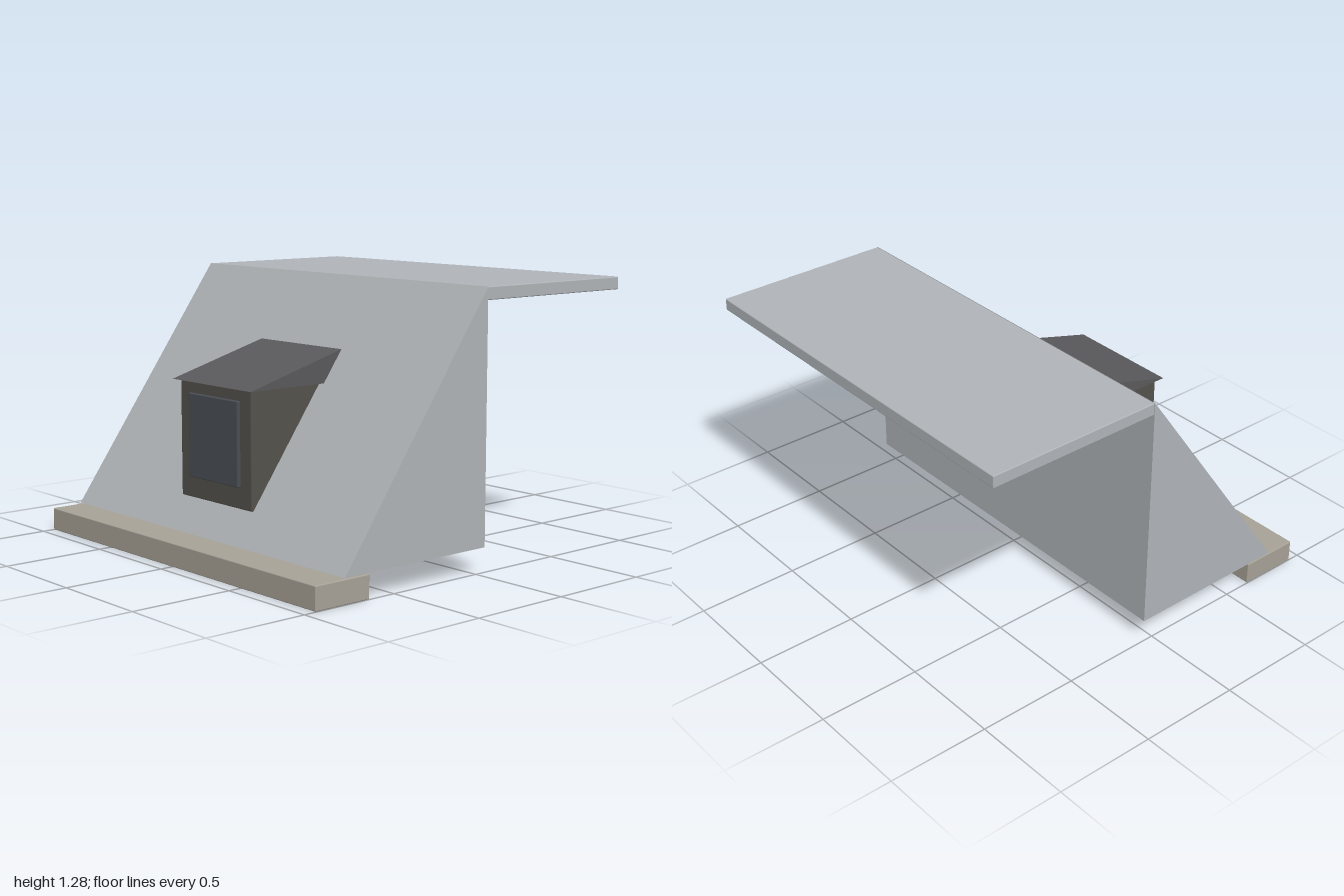
import * as THREE from 'three';
import { RoundedBoxGeometry } from 'three/addons/geometries/RoundedBoxGeometry.js';

const paint = (color) => new THREE.MeshStandardMaterial({ color });

// Box given by its ranges on each axis, with slightly softened edges
function box(name, [x0, x1], [y0, y1], [z0, z1], material) {
  const geometry = new RoundedBoxGeometry(x1 - x0, y1 - y0, z1 - z0, 2, 0.005);
  const mesh = new THREE.Mesh(geometry, material);
  mesh.position.set((x0 + x1) / 2, (y0 + y1) / 2, (z0 + z1) / 2);
  mesh.name = name;
  return mesh;
}

// Side profile of [z, y] points, extruded across x and centred
function prism(name, profile, width, material) {
  const shape = new THREE.Shape(profile.map(([z, y]) => new THREE.Vector2(-z, y)));
  const geometry = new THREE.ExtrudeGeometry(shape, { depth: width, bevelEnabled: false });
  geometry.translate(0, 0, -width / 2).rotateY(Math.PI / 2);
  const mesh = new THREE.Mesh(geometry, material);
  mesh.name = name;
  return mesh;
}

export function createModel() {
  const model = new THREE.Group();
  model.name = 'mansardRoof';

  const roofGrey = paint(0xb0b4b8);
  const stone = paint(0xa8a297);
  const darkWood = paint(0x55524d);
  const darkRoof = paint(0x5a5a5c);
  const glass = paint(0x4a4f55);

  // Eaves cornice, steep slope and flat upper deck
  model.add(
    box('cornice', [-1, 1], [0, 0.11], [0.64, 0.94], stone),
    prism('steepSlope', [[0.78, 0.115], [-0.055, 0.115], [-0.055, 1.28]], 2, roofGrey),
    box('upperDeck', [-1, 1], [1.22, 1.28], [-0.94, -0.055], roofGrey),
  );

  // Dormer set into the slope, with a single-pitch roof
  const dormer = new THREE.Group();
  dormer.name = 'dormer';
  dormer.add(
    box('dormerBody', [-0.263, 0.263], [0.26, 0.81], [0.21, 0.685], darkWood),
    box('dormerWindow', [-0.183, 0.183], [0.36, 0.755], [0.67, 0.702], glass),
    prism('dormerRoof', [[0.71, 0.81], [0.175, 0.81], [0.175, 0.96]], 0.586, darkRoof),
  );
  model.add(dormer);
  return model;
}
